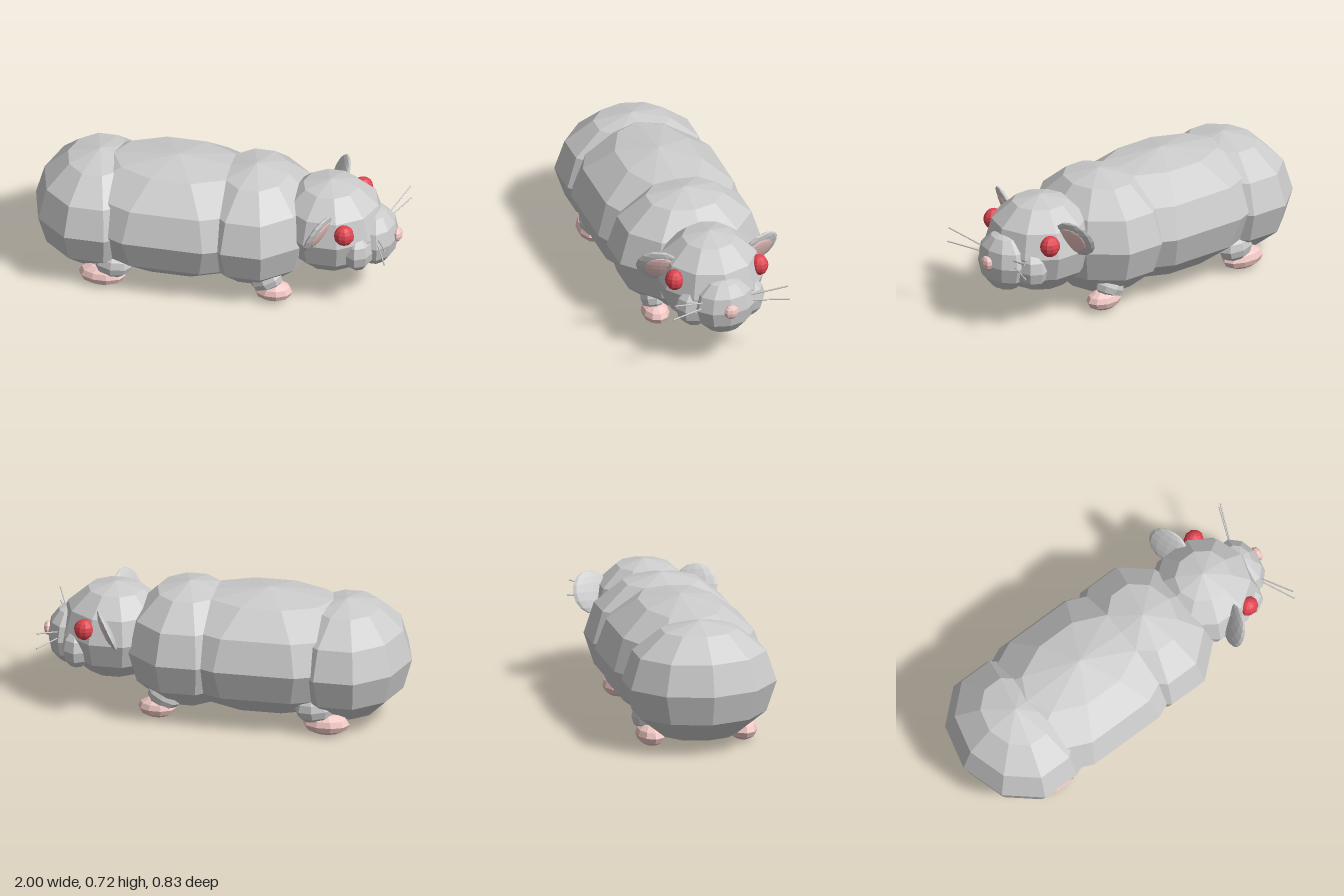
import * as THREE from 'three';

const mat = (color) => new THREE.MeshStandardMaterial({ color, flatShading: true });

export function createModel() {
  const model = new THREE.Group();
  const fur = mat(0xcccccc);
  const pink = mat(0xf0c8c4);
  const red = mat(0xe04550);

  // Faceted ellipsoid: centre, radii, rotation
  function blob(name, material, p, r, rot = [0, 0, 0], sides = 10, rings = 6) {
    const mesh = new THREE.Mesh(new THREE.SphereGeometry(1, sides, rings), material);
    mesh.name = name;
    mesh.position.set(...p);
    mesh.scale.set(...r);
    mesh.rotation.set(...rot);
    model.add(mesh);
    return mesh;
  }

  // Thin rod between two points
  function rod(name, material, a, b, radius) {
    const from = new THREE.Vector3(...a), to = new THREE.Vector3(...b);
    const dir = to.clone().sub(from);
    const mesh = new THREE.Mesh(new THREE.CylinderGeometry(radius, radius, dir.length(), 6), material);
    mesh.name = name;
    mesh.position.copy(from).add(to).multiplyScalar(0.5);
    mesh.quaternion.setFromUnitVectors(new THREE.Vector3(0, 1, 0), dir.normalize());
    model.add(mesh);
  }

  // Body, head pointing along +x
  blob('hips', fur, [-0.65, 0.357, 0], [0.35, 0.332, 0.42]);
  blob('belly', fur, [-0.22, 0.373, 0], [0.71, 0.343, 0.436]);
  blob('chest', fur, [0.205, 0.373, 0], [0.355, 0.343, 0.42]);

  // Head
  blob('head', fur, [0.61, 0.411, 0], [0.3, 0.266, 0.29]);
  blob('snout', fur, [0.855, 0.36, 0], [0.122, 0.163, 0.168]);
  blob('nose', pink, [0.975, 0.374, 0], [0.025, 0.04, 0.042], [0, 0, 0], 8, 6);

  for (const s of [1, -1]) {
    blob('cheek', fur, [0.79, 0.34, s * 0.14], [0.085, 0.115, 0.11], [0, 0, 0], 8, 6);
    blob('eye', red, [0.733, 0.485, s * 0.238], [0.056, 0.058, 0.05], [0, 0, 0], 10, 8);

    // Ear disc facing forward, outward and slightly down
    const normal = new THREE.Vector3(0.86, -0.4, s * 0.32).normalize();
    const ear = blob('ear', fur, [0.6, 0.508, s * 0.285], [0.022, 0.118, 0.118], [0, 0, 0], 12, 8);
    const inner = blob('innerEar', pink, [0.615, 0.5, s * 0.278], [0.014, 0.083, 0.088], [0, 0, 0], 12, 8);
    for (const m of [ear, inner]) m.quaternion.setFromUnitVectors(new THREE.Vector3(1, 0, 0), normal);

    // Whiskers
    rod('whisker', fur, [0.9, 0.413, s * 0.139], [0.975, 0.473, s * 0.318], 0.004);
    rod('whisker', fur, [0.9, 0.378, s * 0.146], [0.975, 0.39, s * 0.328], 0.004);

    // Legs and feet
    blob('frontLeg', fur, [0.305, 0.125, s * 0.217], [0.092, 0.067, 0.063], [0, 0, 0.45], 8, 6);
    blob('frontFoot', pink, [0.342, 0.061, s * 0.212], [0.104, 0.056, 0.074], [0, 0, 0], 10, 6);
    blob('hindLeg', fur, [-0.52, 0.143, s * 0.265], [0.105, 0.078, 0.075], [0, 0, -0.1], 8, 6);
    blob('hindFoot', pink, [-0.583, 0.06, s * 0.25], [0.128, 0.06, 0.08], [0, 0, 0], 10, 6);
  }

  return model;
}
